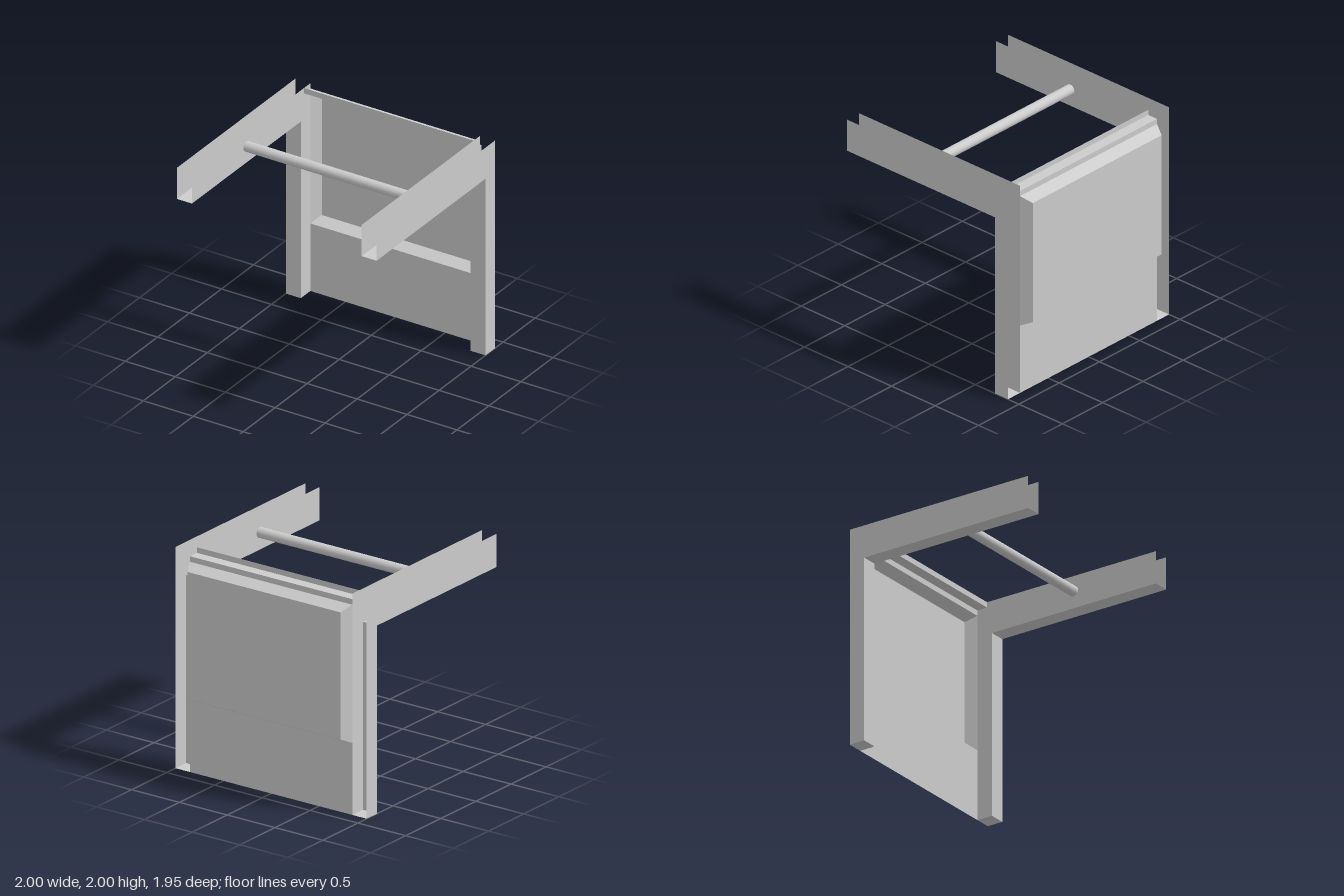
import * as THREE from 'three';

const material = new THREE.MeshStandardMaterial({ color: 0xcccccc, flatShading: true, side: THREE.DoubleSide });
const smooth = new THREE.MeshStandardMaterial({ color: 0xcccccc });

function add(parent, name, geometry, mat = material) {
  const mesh = new THREE.Mesh(geometry, mat);
  mesh.name = name;
  parent.add(mesh);
  return mesh;
}

// Thin flat-faced sheet made of quads, each given by four corners in order
function sheet(quads) {
  const points = quads.flatMap(([a, b, c, d]) => [a, b, c, a, c, d]).flat();
  const geometry = new THREE.BufferGeometry();
  geometry.setAttribute('position', new THREE.Float32BufferAttribute(points, 3));
  geometry.computeVertexNormals();
  return geometry;
}

// Quads spanning from x0 to x1 along a folded profile of [y, z, inset]
function fold(profile, x0, x1) {
  const quads = [];
  for (let i = 0; i < profile.length - 1; i++) {
    const [ya, za, ia = 0] = profile[i];
    const [yb, zb, ib = 0] = profile[i + 1];
    quads.push([[x0 + ia, ya, za], [x1 - ia, ya, za], [x1 - ib, yb, zb], [x0 + ib, yb, zb]]);
  }
  return quads;
}

const OUTER = 1, INNER = 0.85;
const BACK = -0.875, POST_FRONT = -0.725, ARM_FRONT = 0.975, ARM_BOTTOM = 1.7, TOP = 2;

// L-shaped channel: two side plates joined by a web, open at the back, top and arm end
function createSideFrame(name, side) {
  const frame = new THREE.Group();
  frame.name = name;
  const outline = new THREE.Shape([
    [BACK, 0], [POST_FRONT, 0], [POST_FRONT, ARM_BOTTOM],
    [ARM_FRONT, ARM_BOTTOM], [ARM_FRONT, TOP], [BACK, TOP],
  ].map(([z, y]) => new THREE.Vector2(z, y)));
  const plate = new THREE.ShapeGeometry(outline).rotateY(-Math.PI / 2);
  add(frame, 'outerPlate', plate).position.x = side * OUTER;
  add(frame, 'innerPlate', plate).position.x = side * INNER;

  const web = [[0, BACK], [0, POST_FRONT], [ARM_BOTTOM, POST_FRONT], [ARM_BOTTOM, ARM_FRONT]];
  add(frame, 'channelWeb', sheet(fold(web, side < 0 ? -OUTER : INNER, side < 0 ? -INNER : OUTER)));
  return frame;
}

// Back sheet with a tray pressed out to the rear and a stepped upper lip
function createBackPanel() {
  const panel = new THREE.Group();
  panel.name = 'backPanel';
  const trayBack = -0.975, inset = 0.05;
  const tray = [[0.65, BACK], [0.7, trayBack, inset], [1.85, trayBack, inset], [1.9, BACK]];
  add(panel, 'lowerSheet', sheet(fold([[0, BACK], [0.65, BACK]], -INNER, INNER)));
  add(panel, 'tray', sheet(fold(tray, -INNER, INNER)));
  add(panel, 'topLip', sheet(fold([[1.9, BACK], [1.95, BACK], [1.95, -0.775], [TOP, -0.775]], -INNER, INNER)));
  // Sloping ends of the tray
  for (const side of [-1, 1]) {
    const corners = tray.map(([y, z, i = 0]) => [side * (INNER - i), y, z]);
    if (side > 0) corners.reverse();
    add(panel, side > 0 ? 'leftTrayEnd' : 'rightTrayEnd', sheet([corners]));
  }
  return panel;
}

export function createModel() {
  const model = new THREE.Group();
  model.name = 'wallFrame';
  model.add(createSideFrame('leftFrame', 1), createSideFrame('rightFrame', -1), createBackPanel());

  // Round rail between the two arms
  const rail = new THREE.CylinderGeometry(0.047, 0.047, INNER * 2, 32).rotateZ(Math.PI / 2);
  add(model, 'crossRail', rail, smooth).position.set(0, 1.857, 0.122);
  return model;
}
